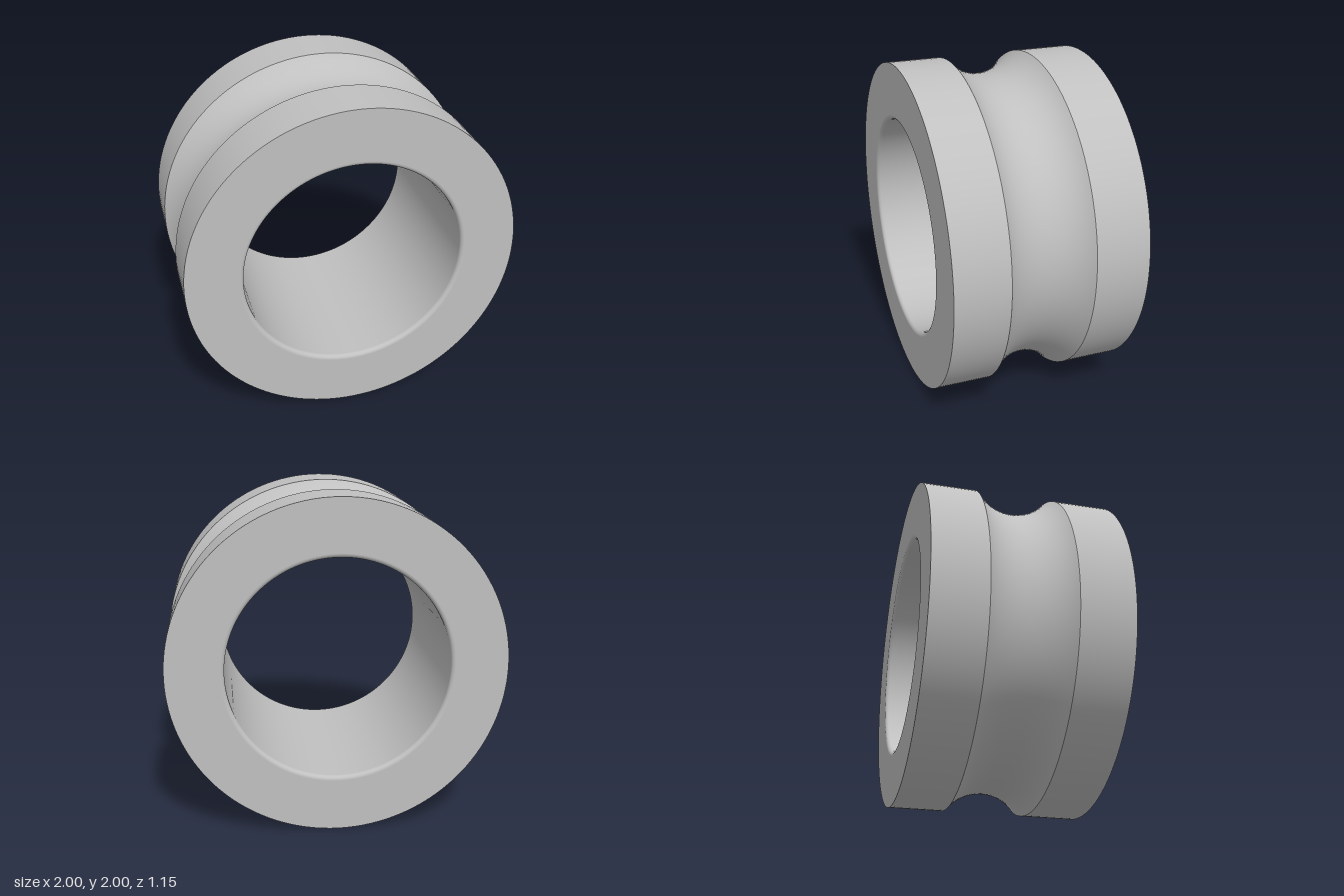
import * as THREE from 'three';

export function createModel() {
  const group = new THREE.Group();
  group.name = 'groovedRoller';
  const grey = new THREE.MeshStandardMaterial({ color: 0xc0c0c0 });
  grey.name = 'grey';

  const outer = 1, bore = 0.66, half = 0.577, fillet = 0.025;
  const grooveHalf = 0.25, grooveRadius = 0.326, grooveCentre = 1.209;

  // Each strip of the profile [radius, z] is turned separately to keep its edges crisp
  const turn = (name, profile) => {
    const geometry = new THREE.LatheGeometry(profile.map(([r, z]) => new THREE.Vector2(r, z)), 128);
    geometry.rotateX(Math.PI / 2).translate(0, 1, 0);
    const mesh = new THREE.Mesh(geometry, grey);
    mesh.name = name;
    group.add(mesh);
  };

  const arc = (r, z, radius, from, to, steps) => Array.from({ length: steps + 1 }, (_, i) => {
    const a = from + (to - from) * i / steps;
    return [r + radius * Math.cos(a), z + radius * Math.sin(a)];
  });

  // Outer rims
  turn('backRim', [[outer, -half], [outer, -grooveHalf]]);
  turn('frontRim', [[outer, grooveHalf], [outer, half]]);

  // Round groove between the rims
  const sweep = Math.asin(grooveHalf / grooveRadius);
  const groove = arc(grooveCentre, 0, grooveRadius, Math.PI + sweep, Math.PI - sweep, 24);
  groove[0] = [outer, -grooveHalf];
  groove[24] = [outer, grooveHalf];
  turn('groove', groove);

  // Flat end faces
  turn('frontFace', [[outer, half], [bore + fillet, half]]);
  turn('backFace', [[bore + fillet, -half], [outer, -half]]);

  // Bore with rounded mouths
  const inner = half - fillet;
  turn('frontBoreFillet', arc(bore + fillet, inner, fillet, Math.PI / 2, Math.PI, 8));
  turn('bore', [[bore, inner], [bore, -inner]]);
  turn('backBoreFillet', arc(bore + fillet, -inner, fillet, Math.PI, Math.PI * 1.5, 8));

  return group;
}
